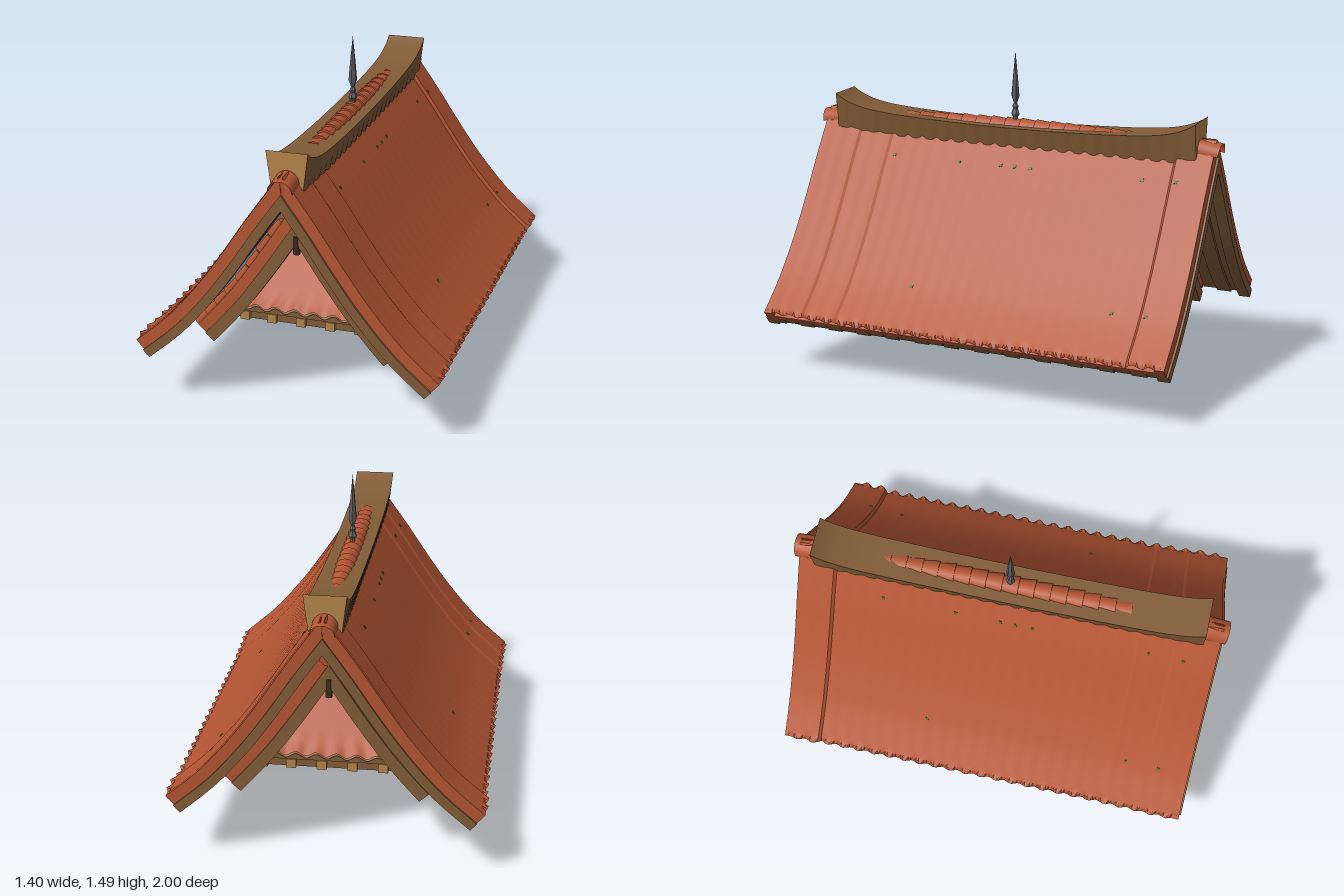
import * as THREE from 'three';
import { mergeGeometries, toCreasedNormals } from 'three/addons/utils/BufferGeometryUtils.js';

const mat = (name, color) => new THREE.MeshStandardMaterial({ name, color, side: THREE.DoubleSide });

export function createModel() {
  const root = new THREE.Group();
  root.name = 'gableRoof';
  const tile = mat('terracotta', 0xb45533), wood = mat('wood', 0x825c37), light = mat('cutWood', 0xb5854a),
    dark = mat('darkWood', 0x3d2c20), stone = mat('slate', 0x737e8e), iron = mat('iron', 0x606168),
    leaf = mat('ivy', 0x1f3d06), moss = mat('moss', 0x47681a);

  let seed = 7;
  const rnd = () => (seed = (seed * 16807) % 2147483647) / 2147483647;
  const add = (name, geo, m, x = 0, y = 0, z = 0) => {
    const mesh = new THREE.Mesh(geo, m);
    mesh.name = name;
    mesh.position.set(x, y, z);
    root.add(mesh);
    return mesh;
  };
  const box = (name, w, h, d, m, x, y, z) => add(name, new THREE.BoxGeometry(w, h, d), m, x, y, z);

  // Slope profiles, ridge to eave
  const curve = pts => new THREE.SplineCurve(pts.map(p => new THREE.Vector2(...p)));
  const outer = curve([[0, 1.155], [0.15, 0.945], [0.25, 0.795], [0.35, 0.653], [0.45, 0.528], [0.55, 0.42], [0.685, 0.302]]);
  const inner = curve([[0, 0.97], [0.1, 0.82], [0.2, 0.67], [0.3, 0.53], [0.39, 0.42], [0.47, 0.33]]);

  // Point on a profile moved along its outward normal, kept on its own side of the ridge
  const at = (c, t, off) => {
    const p = c.getPoint(t), d = c.getTangent(t);
    p.set(p.x - d.y * off, p.y + d.x * off);
    if (p.x < 0) p.addScaledVector(d, -p.x / d.x);
    return p;
  };

  // Curved slab between two offsets, running along z
  const slab = (c, side, top, bottom, z0, z1, n = 16) => {
    const pts = [];
    for (let i = 0; i <= n; i++) pts.push(at(c, i / n, top));
    for (let i = n; i >= 0; i--) pts.push(at(c, i / n, bottom));
    const shape = new THREE.Shape(pts.map(p => new THREE.Vector2(p.x * side, p.y)));
    const g = new THREE.ExtrudeGeometry(shape, { depth: z1 - z0, bevelEnabled: false });
    return toCreasedNormals(g.translate(0, 0, z0), 0.5);
  };

  // Tiled sheet, almost flat, with scallops at the eave; lift(z) raises strips near the gables
  const sheet = (c, side, len, pitch, lift) => {
    const g = new THREE.PlaneGeometry(1, 1, Math.round(len / pitch) * 6, 32), pos = g.attributes.position;
    for (let i = 0; i < pos.count; i++) {
      const z = pos.getX(i) * len, t = 0.5 - pos.getY(i);
      const amp = t > 0.98 ? 0.012 : 0.0004;
      const p = at(c, t, lift(z) + amp * Math.cos((z / pitch) * Math.PI * 2));
      pos.setXYZ(i, p.x * side, p.y, z);
    }
    g.computeVertexNormals();
    return toCreasedNormals(g, 0.4);
  };
  const vergeLift = z => (z > 0.78 || z < -0.8 ? 0.013 : z > 0.605 ? 0.006 : 0);

  for (const s of [-1, 1]) {
    // Main roof
    add('mainTiles', sheet(outer, s, 1.93, 0.076, vergeLift), tile);
    add('mainTileBed', slab(outer, s, -0.012, -0.035, -0.96, 0.96), tile);
    for (let i = 0; i < 26; i++) {
      const z = -0.96 + i * 0.0738;
      add('mainPlank', slab(outer, s, -0.035, -0.058 - 0.01 * (i % 2), z, z + 0.071, 8), wood);
    }
    // Inner roof
    add('innerTiles', sheet(inner, s, 1.52, 0.076, () => 0), tile);
    add('innerTileBed', slab(inner, s, -0.01, -0.03, -0.76, 0.76), tile);
    for (let i = 0; i < 20; i++) {
      const z = -0.76 + i * 0.076;
      add('innerPlank', slab(inner, s, -0.03, -0.05 - 0.01 * (i % 2), z, z + 0.073, 8), wood);
    }
    // Verge tiles and bargeboards at both gables
    for (const e of [-1, 1]) {
      const span = (a, b) => e > 0 ? [a, b] : [-b, -a];
      add('mainVergeTile', slab(outer, s, 0.01, -0.042, ...span(0.93, 0.975)), tile);
      add('mainBargeboard', slab(outer, s, -0.042, -0.085, ...span(0.93, 0.985)), wood);
      add('innerVergeTile', slab(inner, s, 0.005, -0.045, ...span(0.74, 0.79)), tile);
      add('innerBargeboard', slab(inner, s, -0.045, -0.1, ...span(0.74, 0.8)), wood);
      add('gapPanel', slab(inner, s, 0.07, 0, ...span(0.55, 0.56)), stone);
      // Rounded inner verge cover tiles, overlapping down the slope
      for (let i = 0; i < 9; i++) {
        const t = 0.08 + i * 0.105, p = at(inner, t, 0.01), d = inner.getTangent(t);
        const m = add('innerCoverTile', new THREE.CylinderGeometry(0.016, 0.023, 0.085, 8), tile, p.x * s, p.y, e * 0.76);
        m.rotation.z = s * Math.atan2(d.x, -d.y);
      }
    }
    box('sidePurlin', 0.11, 0.04, 1.1, light, s * 0.475, 0.352, 0);
  }

  // Ridge beam: flared section, upswept ends, scalloped lower edge
  const beam = new THREE.BoxGeometry(2, 1, 1.8, 1, 1, 144), bp = beam.attributes.position;
  for (let i = 0; i < bp.count; i++) {
    const z = bp.getZ(i), k = Math.abs(z) / 0.9, up = bp.getY(i) > 0;
    const top = 1.15 + 0.035 * k * k + 0.058 * k ** 10;
    const low = 1.056 + 0.012 * Math.cos((z / 0.075) * Math.PI * 2);
    bp.setXYZ(i, Math.sign(bp.getX(i)) * (up ? 0.093 : 0.07), up ? top : low, z);
  }
  beam.computeVertexNormals();
  add('ridgeBeam', beam, [wood, wood, wood, wood, light, light]);

  // Ridge cover tiles, sinking into the beam towards both ends
  const roll = (r0, r1, len) => new THREE.CylinderGeometry(r0, r1, len, 12).rotateX(Math.PI / 2);
  for (let i = -8; i <= 8; i++)
    add('ridgeTile', roll(0.05, 0.042, 0.078), tile, 0, 1.132 - 0.013 * (i / 8) ** 2, i * 0.074);
  for (const e of [-1, 1]) {
    const tilt = (m, a) => { m.rotation.x = e * a; };
    tilt(add('ridgeEndTile', new THREE.CylinderGeometry(0.055, 0.055, 0.2, 14, 1, true, Math.PI / 2, Math.PI)
      .rotateX(Math.PI / 2), tile, 0, 1.108, e * 0.895), 0.15);
    tilt(add('ridgeEndCore', roll(0.04, 0.04, 0.16), tile, 0, 1.108, e * 0.89), 0.15);
    tilt(add('innerRidgeTile', roll(0.045, 0.045, 0.1), tile, 0, 0.935, e * 0.76), 0.1);
    add('gablePendant', new THREE.CylinderGeometry(0.016, 0.016, 0.085, 6), dark, 0, 0.78, e * 0.79);
  }

  // Finial spike
  const prof = [[0, 1.14], [0.014, 1.15], [0.012, 1.185], [0.021, 1.2], [0.012, 1.225], [0.016, 1.235],
    [0.008, 1.25], [0.02, 1.285], [0.012, 1.38], [0, 1.495]].map(p => new THREE.Vector2(...p));
  add('finialSpike', toCreasedNormals(new THREE.LatheGeometry(prof, 6), 0.4), iron);

  // Tiled skirt slopes inside the gables
  for (const e of [-1, 1]) {
    const g = new THREE.PlaneGeometry(2, 1, 72, 12), pos = g.attributes.position;
    for (let i = 0; i < pos.count; i++) {
      const u = pos.getX(i), t = pos.getY(i) + 0.5;
      const wave = t < 0.05 ? 0.01 * Math.cos(u * Math.PI * 8) : 0;
      pos.setXYZ(i, u * 0.37 * (1 - t), 0.352 + 0.52 * t + wave, e * (0.58 - 0.52 * t));
    }
    g.computeVertexNormals();
    add('gableSkirtTiles', g, tile);
    add('gableSkirtBoards', g.clone(), wood, 0, -0.014, -e * 0.01);
    box('skirtEaveBeam', 0.7, 0.03, 0.03, wood, 0, 0.327, e * 0.54);
  }

  // Base frame with beam ends round its edge
  for (const s of [-1, 1]) {
    box('frameSideBeam', 0.1, 0.045, 1.04, wood, s * 0.36, 0.305, 0);
    box('frameEndBeam', 0.86, 0.04, 0.1, wood, 0, 0.292, s * 0.49);
    for (const x of [-0.34, -0.21, -0.07, 0.07, 0.21, 0.34])
      box('endBeamBlock', 0.045, 0.042, 0.1, light, x, 0.291, s * 0.51);
    for (let i = -3; i <= 3; i++) box('sideBeamBlock', 0.09, 0.038, 0.05, light, s * 0.385, 0.291, i * 0.14);
    // Inner ledge boards and hanging slate panels
    box('innerLedge', 0.12, 0.015, 0.9, wood, s * 0.28, 0.335, 0);
    box('slatePanel', 0.4, 0.06, 0.1, stone, 0, 0.37, s * 0.2);
  }
  box('centreJoist', 0.7, 0.035, 0.05, wood, 0, 0.325, 0);

  // Hanging ivy: [x, lowest y, leaf size, spread, count] for each strand
  const strands = [[-0.24, 0.19, 0.018, 0.03, 16], [-0.11, 0.035, 0.017, 0.018, 26], [-0.03, 0.008, 0.019, 0.018, 26],
    [0.03, 0.008, 0.019, 0.018, 26], [0.09, 0.045, 0.019, 0.022, 24], [-0.08, 0.12, 0.04, 0.05, 34],
    [0.0, 0.1, 0.042, 0.06, 40], [0.08, 0.12, 0.04, 0.05, 34], [-0.17, 0.23, 0.03, 0.08, 20]];
  const leaves = [[], []];
  for (const [x, low, size, spread, n] of strands) for (let i = 0; i < n; i++) {
    const g = new THREE.TetrahedronGeometry(size);
    g.scale(1, 1, 0.35).rotateZ(rnd() * 6.28).rotateY((rnd() - 0.5) * 2);
    const y = low + size * 0.9 + (0.32 - low - size * 0.9) * (i / (n - 1));
    g.translate(x + (rnd() - 0.5) * 2 * spread, y, (rnd() - 0.5) * (y > 0.24 ? 0.12 : 0.03));
    leaves[i % 9 === 4 ? 1 : 0].push(g);
  }
  add('hangingIvy', mergeGeometries(leaves[0]), leaf);
  add('youngIvyLeaves', mergeGeometries(leaves[1]), moss);

  // Moss flecks on the main slopes
  for (const s of [-1, 1]) for (const [t, z] of [[0.14, 0.57], [0.14, 0.23], [0.14, 0.02], [0.14, -0.05], [0.14, -0.13],
    [0.14, -0.67], [0.14, -0.83], [0.76, -0.67], [0.76, -0.83], [0.76, 0.3]]) {
    const p = at(outer, t, vergeLift(z * s) + 0.001), d = outer.getTangent(t);
    const m = box('mossFleck', 0.014, 0.003, 0.014, moss, p.x * s, p.y, z * s);
    m.rotation.z = s * Math.atan2(d.y, d.x);
  }
  return root;
}
